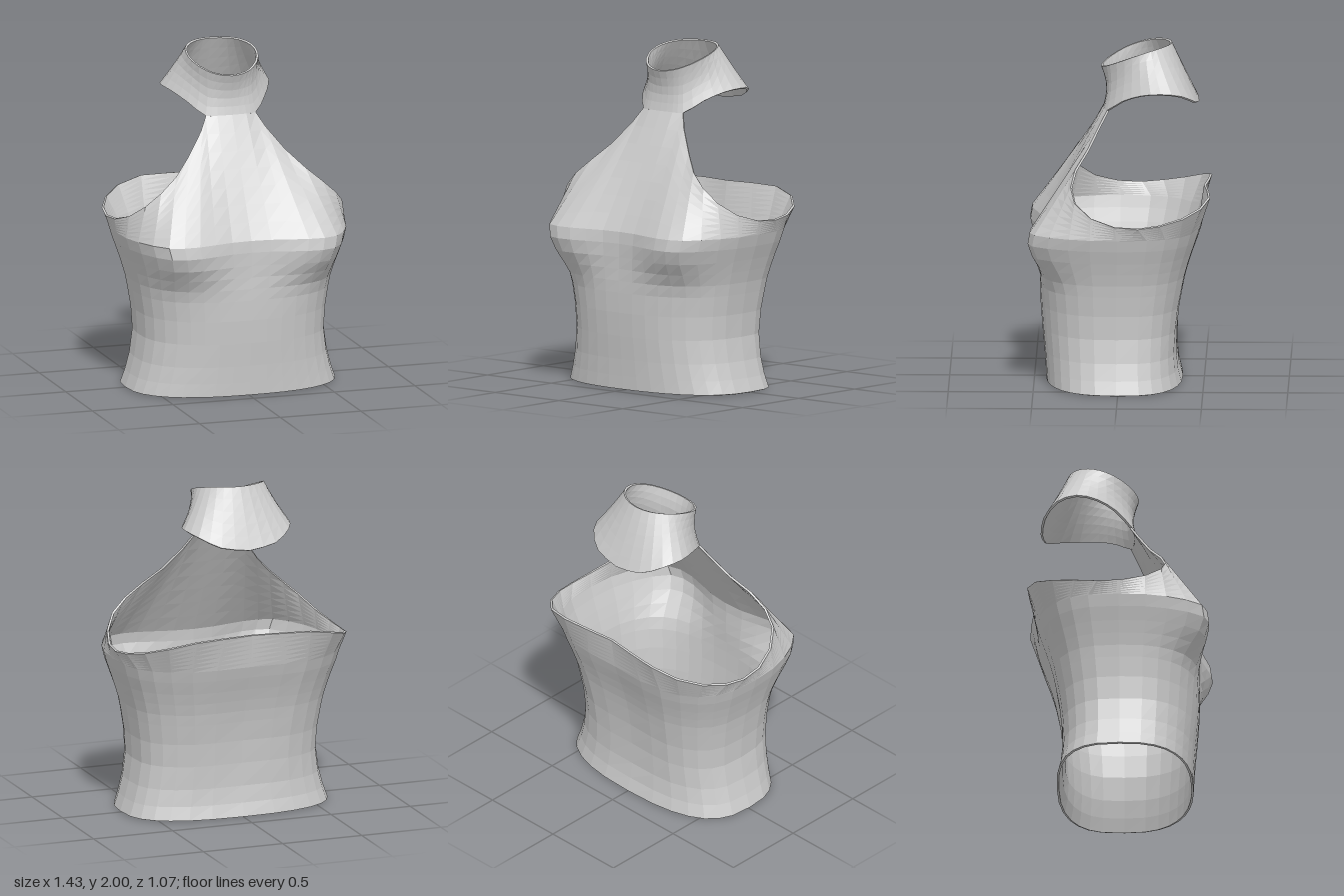
import * as THREE from 'three';

const THICKNESS = 0.013;
const V = (x, y, z) => new THREE.Vector3(x, y, z);
const material = new THREE.MeshStandardMaterial({ color: 0xcccccc, flatShading: true, side: THREE.DoubleSide });

// Mirror a half row (front centre -> left side -> back centre) into a full loop.
function mirrorRow(half) {
  const other = half.slice(1, -1).reverse().map(p => V(-p.x, p.y, p.z));
  return [...half, ...other];
}

// Join rows of loops into a grid; wrap also joins the last row to the first.
function gridGeometry(rows, wrap) {
  const n = rows[0].length, m = rows.length, index = [];
  for (let r = 0; r < (wrap ? m : m - 1); r++) {
    for (let c = 0; c < n; c++) {
      const r2 = (r + 1) % m, c2 = (c + 1) % n;
      const a = r * n + c, b = r * n + c2, d = r2 * n + c, e = r2 * n + c2;
      index.push(a, b, e, a, e, d);
    }
  }
  const geo = new THREE.BufferGeometry().setFromPoints(rows.flat());
  geo.setIndex(index);
  geo.computeVertexNormals();
  return geo;
}

// Thin cloth: outer rows going up, inner rows coming back down.
function clothMesh(halfRows, name) {
  const outer = halfRows.map(mirrorRow);
  const n = outer[0].length;
  const normals = gridGeometry(outer, false).attributes.normal;
  const inner = outer.map((row, r) => row.map((p, c) =>
    V().fromBufferAttribute(normals, r * n + c).multiplyScalar(-THICKNESS).add(p)));
  const mesh = new THREE.Mesh(gridGeometry([...outer, ...inner.reverse()], true), material);
  mesh.name = name;
  return mesh;
}

// Torso rings: height, half width, front z, back z, bust fullness, spine hollow
const RINGS = [
  [0, 0.635, 0.43, -0.375, 0, 0],
  [0.08, 0.607, 0.435, -0.357, 0, 0.005],
  [0.18, 0.58, 0.442, -0.35, 0, 0.012],
  [0.32, 0.56, 0.455, -0.358, 0, 0.02],
  [0.46, 0.568, 0.465, -0.375, 0, 0.025],
  [0.58, 0.587, 0.468, -0.4, 0.05, 0.03],
  [0.65, 0.6, 0.468, -0.415, 0.18, 0.03],
  [0.72, 0.62, 0.466, -0.435, 0.48, 0.03],
  [0.79, 0.642, 0.466, -0.458, 0.8, 0.03],
  [0.87, 0.67, 0.466, -0.487, 1, 0.03],
  [0.94, 0.69, 0.46, -0.51, 0.95, 0.03],
];
const BUST = [0, 0.012, 0.05, 0.095, 0.13, 0.145, 0.11, 0.06, 0.02];

// Top edge: neck, down the armhole, then across the back
const TOP_EDGE = [
  [0, 1.62, 0.095], [0.09, 1.62, 0.09], [0.155, 1.62, 0.07], [0.2, 1.54, 0.115],
  [0.3, 1.41, 0.185], [0.4, 1.31, 0.255], [0.5, 1.225, 0.28], [0.59, 1.145, 0.255],
  [0.66, 1.07, 0.16], [0.705, 1.025, 0.02], [0.715, 1.015, -0.12], [0.695, 1.03, -0.25],
  [0.63, 1.06, -0.385], [0.52, 1.1, -0.49], [0.36, 1.135, -0.54], [0.18, 1.14, -0.53],
  [0, 1.14, -0.51],
].map(p => V(...p));

function ringPoint([y, width, front, back, bust, hollow], j) {
  const t = Math.PI * Math.pow(j / 16, 1.2);
  const s = Math.max(0, Math.sin(t)), c = Math.cos(t), mid = 0.02;
  const x = j === 16 ? 0 : width * Math.pow(s, 0.8);
  let z = c > 0 ? mid + (front - mid) * Math.pow(c, 0.8)
    : mid + (back - mid) * Math.pow(-c, 0.65);
  z += bust * (BUST[j] || 0);
  if (j >= 15) z += hollow * (j === 16 ? 1 : 0.5);
  return V(x, y, z);
}

function bodice() {
  const rows = RINGS.map(ring => TOP_EDGE.map((_, j) => ringPoint(ring, j)));
  // Chest and back panels rise from the bust ring to the shaped edge
  const bustRow = rows[rows.length - 1], steps = 7;
  for (let i = 1; i <= steps; i++) {
    rows.push(bustRow.map((p, j) => p.clone().lerp(TOP_EDGE[j], i / steps)));
  }
  return clothMesh(rows, 'bodice');
}

function collar() {
  // Lower edge: narrow at the throat, flaring over the shoulders and nape
  const lower = new THREE.CatmullRomCurve3([
    [0, 1.62, 0.095], [0.09, 1.62, 0.09], [0.155, 1.62, 0.07], [0.24, 1.69, -0.02],
    [0.3, 1.735, -0.13], [0.33, 1.75, -0.25], [0.285, 1.73, -0.37], [0.17, 1.675, -0.45],
    [0, 1.65, -0.47],
  ].map(p => V(...p))).getPoints(16);
  lower[0].x = lower[16].x = 0;
  const rows = [], steps = 5;
  for (let i = 0; i <= steps; i++) {
    const s = i / steps;
    rows.push(lower.map(p => {
      const a = Math.atan2(p.x, p.z + 0.1);
      const u = (1 - Math.cos(a)) / 2;
      // Round neck opening, higher at the back
      const top = V(0.217 * Math.sin(a), 1.86 + 0.14 * (1 - Math.pow(1 - u, 1.7)), -0.1 + 0.21 * Math.cos(a));
      const q = p.clone().lerp(top, s);
      const pinch = 0.025 * Math.sin(Math.PI * s) * (1 - u);
      q.x -= pinch * Math.sin(a);
      q.z -= pinch * Math.cos(a);
      return q;
    }));
  }
  return clothMesh(rows, 'collar');
}

export function createModel() {
  const group = new THREE.Group();
  group.name = 'halterTop';
  group.add(bodice(), collar());
  return group;
}
